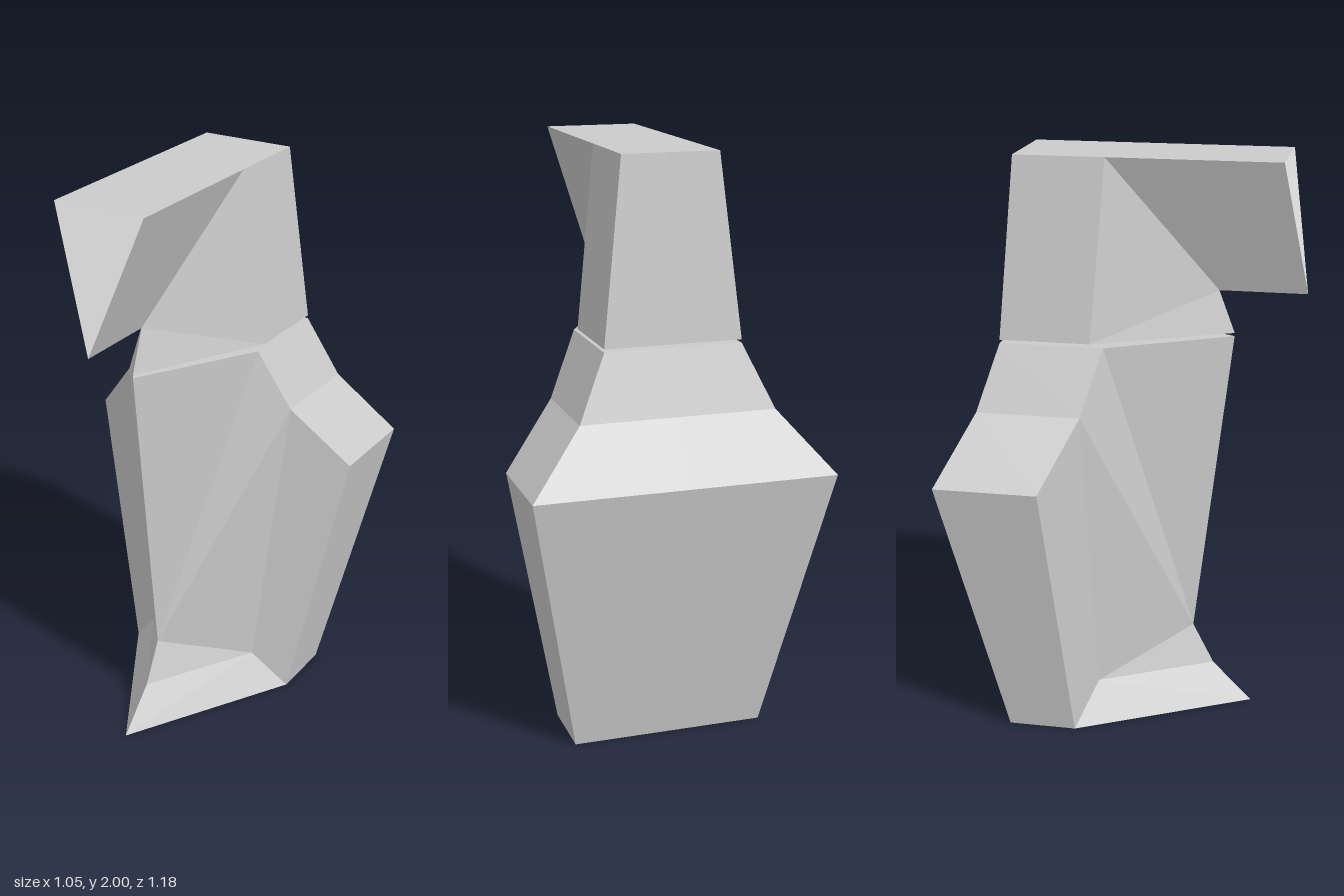
import * as THREE from 'three';

const material = new THREE.MeshStandardMaterial({ color: 0xcccccc, flatShading: true });

// Builds a closed faceted part from the polygons of its +x half, mirrored across x = 0.
function mirroredPart(name, points, faces) {
  const positions = [];
  for (const face of faces) {
    const corners = face.split(' ').map((key) => points[key]);
    for (let i = 1; i < corners.length - 1; i++) {
      const [a, b, c] = [corners[0], corners[i], corners[i + 1]];
      positions.push(...a, ...b, ...c);
      for (const [x, y, z] of [a, c, b]) positions.push(-x, y, z);
    }
  }
  const geometry = new THREE.BufferGeometry();
  geometry.setAttribute('position', new THREE.Float32BufferAttribute(positions, 3));
  geometry.computeVertexNormals();
  const mesh = new THREE.Mesh(geometry, material);
  mesh.name = name;
  return mesh;
}

export function createModel() {
  const model = new THREE.Group();

  // Body: f = front ridge, s = side corners, b = back corners, c = back centre line
  const body = mirroredPart('body', {
    f0: [0, 0, 0.43], f1: [0, 0.14, 0.29], f2: [0, 0.285, 0.215], f3: [0, 1.377, 0.345],
    s0: [0.335, 0, -0.155], s1: [0.22, 0.14, -0.09], s2: [0.52, 0.945, -0.23],
    s3: [0.335, 1.16, -0.125], s4: [0.235, 1.377, -0.065],
    b0: [0.335, 0, -0.39], b2: [0.52, 0.945, -0.585], b3: [0.335, 1.16, -0.48], b4: [0.235, 1.377, -0.42],
    c0: [0, 0, -0.39], c2: [0, 0.945, -0.585], c3: [0, 1.16, -0.48], c4: [0, 1.377, -0.42],
  }, [
    'f0 s0 s1 f1', 'f1 s1 f2', // flared foot
    'f2 s1 s3', 'f2 s3 s4', 'f2 s4 f3', 's1 s0 s2 s3', // front panels
    's0 b0 b2 s2', 's2 b2 b3 s3', 's3 b3 b4 s4', // sides
    'b0 c0 c2 b2', 'b2 c2 c3 b3', 'b3 c3 c4 b4', // back
    'c0 b0 s0 f0', 'f3 s4 b4 c4', // underside and top
  ]);

  // Head: tapered neck with a wedge-shaped spout, hollowed at its front end
  const head = mirroredPart('head', {
    front: [0, 1.388, 0.345], throat: [0, 1.535, 0.29], tip: [0, 1.535, 0.59],
    brow: [0.165, 2, 0.515], browMid: [0, 2, 0.515], hollow: [0, 1.85, 0.1],
    side: [0.235, 1.388, -0.11], sideTop: [0.165, 2, -0.07],
    back: [0.235, 1.388, -0.42], backMid: [0, 1.388, -0.42],
    crown: [0.165, 2, -0.38], crownMid: [0, 2, -0.38],
  }, [
    'front side throat', 'throat side sideTop', 'side back crown sideTop', // neck
    'back backMid crownMid crown', 'backMid back side front', // back and underside
    'tip throat sideTop brow', 'browMid brow crown crownMid', // spout walls and top
    'tip brow hollow', 'hollow brow browMid', // front hollow
  ]);

  model.add(body, head);
  // Slight turn about the vertical axis
  for (const part of [body, head]) {
    part.rotation.y = -0.018;
    part.position.x = -0.008;
  }
  return model;
}
